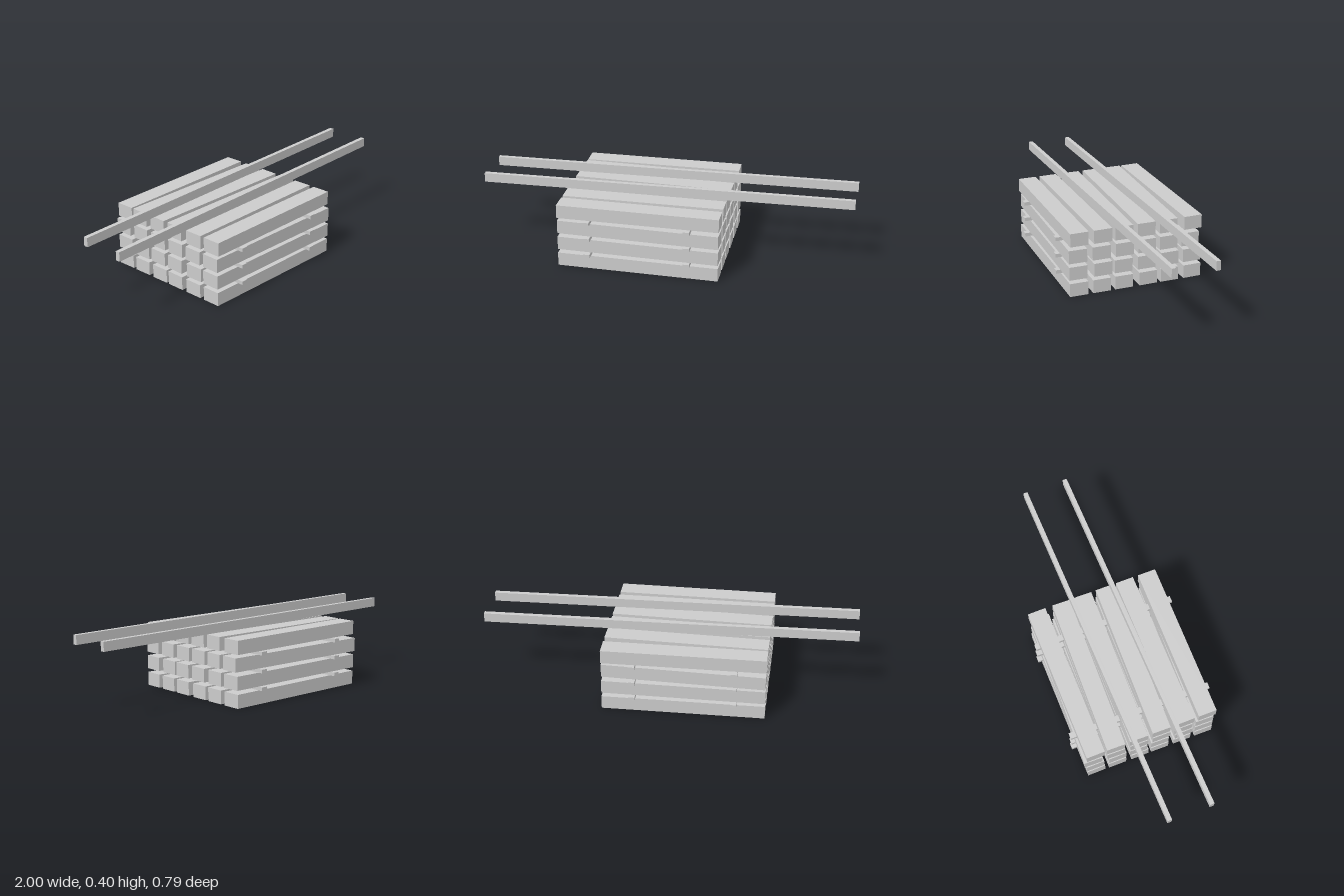
import * as THREE from 'three';

const BEAM = { length: 0.865, height: 0.0735, depth: 0.1, x: -0.1025 };
const SPACER = { width: 0.033, height: 0.0198, length: 0.79 };
const POLE = { length: 2, height: 0.05, depth: 0.0235 };
const STEP = BEAM.height + SPACER.height;

// Sideways drift of each beam from its left-hand to right-hand end, per layer, front to back
const DRIFT = [
  [0.006, 0.003, 0.009, -0.013, -0.005, -0.014],
  [0.012, -0.010, 0.014, 0.007, -0.008, -0.006],
  [0.015, 0.007, 0.002, 0.002, 0.010, 0.016],
  [-0.003, -0.010, 0.010, 0.010, 0.013, -0.014],
];

export function createModel() {
  const group = new THREE.Group();
  group.name = 'timberStack';
  const timber = new THREE.MeshStandardMaterial({ color: 0xcccccc });
  timber.name = 'pale grey timber';

  const beamGeo = new THREE.BoxGeometry(BEAM.length, BEAM.height, BEAM.depth);
  const spacerGeo = new THREE.BoxGeometry(SPACER.width, SPACER.height, SPACER.length);
  const poleGeo = new THREE.BoxGeometry(POLE.length, POLE.height, POLE.depth);

  const add = (name, geometry, x, y, z, angle = 0) => {
    const mesh = new THREE.Mesh(geometry, timber);
    mesh.name = name;
    mesh.position.set(x, y, z);
    mesh.rotation.y = angle;
    group.add(mesh);
  };

  DRIFT.forEach((row, layer) => {
    const base = layer * STEP;
    // Six slightly skewed beams per layer
    row.forEach((drift, i) => {
      const z = (2.5 - i) * 0.1265;
      add('beam', beamGeo, BEAM.x, base + BEAM.height / 2, z, -Math.atan(drift / BEAM.length));
    });
    // Two thin spacers between layers
    if (layer < DRIFT.length - 1) {
      for (const x of [-0.37, 0.165]) {
        add('spacer', spacerGeo, x, base + BEAM.height + SPACER.height / 2, 0);
      }
    }
  });

  // Long carrying poles laid across the top
  const top = 3 * STEP + BEAM.height;
  for (const z of [0.1165, -0.1155]) {
    add('pole', poleGeo, 0, top + POLE.height / 2, z, Math.atan(0.059 / POLE.length));
  }
  return group;
}
